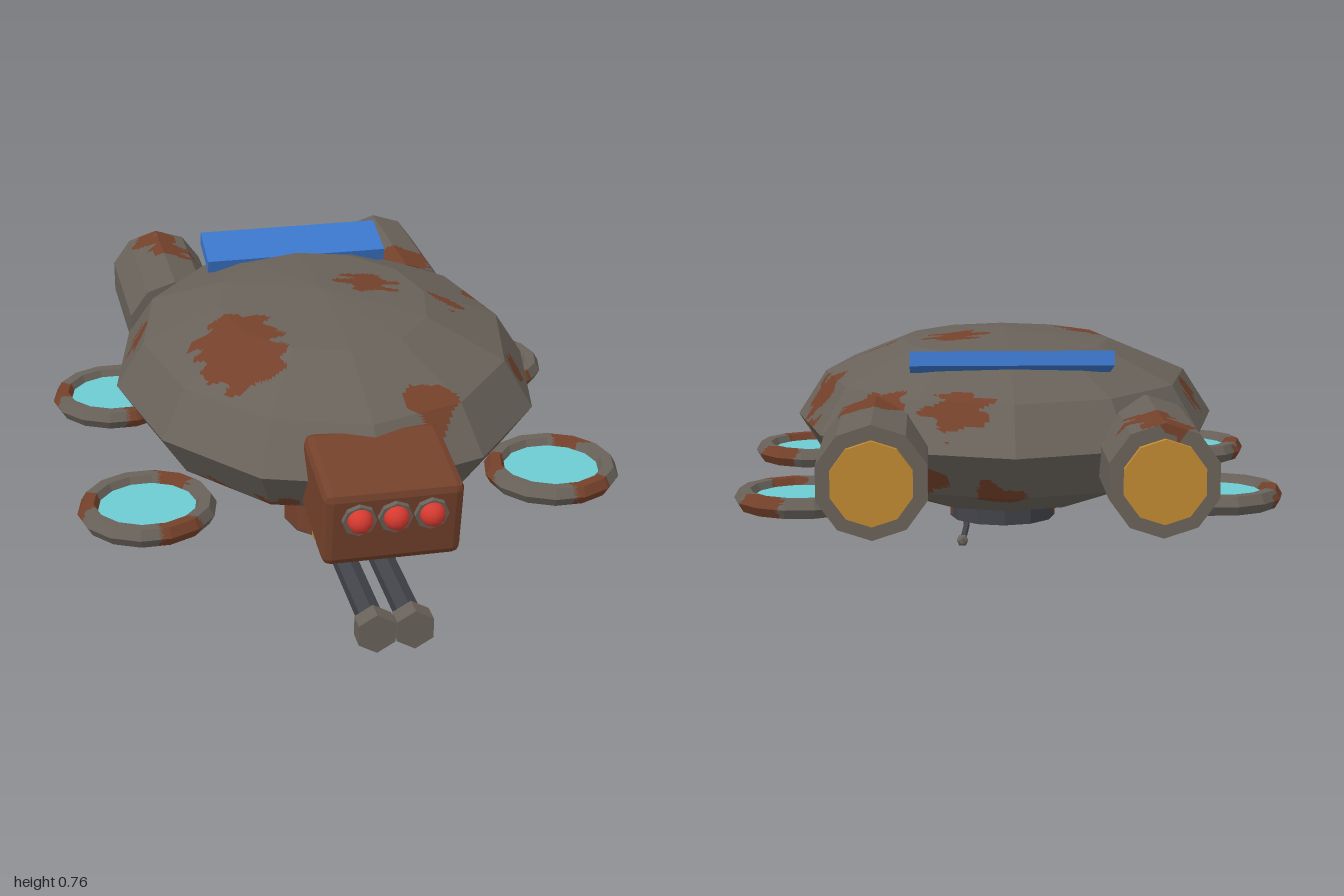
import * as THREE from 'three';
import { RoundedBoxGeometry } from 'three/addons/geometries/RoundedBoxGeometry.js';

const mat = (name, color) => Object.assign(new THREE.MeshStandardMaterial({ color }), { name });

// Rust blotches on hull and engines: x, y, z, radius
const BLOTCHES = [
  [-0.31, 0.71, 0.2, 0.13], [-0.3, 0.7, 0.34, 0.12], [0.15, 0.75, -0.07, 0.08], [0.38, 0.7, 0.03, 0.04],
  [0.2, 0.63, 0.6, 0.08], [-0.57, 0.58, -0.17, 0.06], [0.16, 0.63, -0.67, 0.085], [0.57, 0.6, -0.15, 0.085],
  [0.58, 0.48, -0.23, 0.05], [0.52, 0.56, 0.27, 0.05], [-0.25, 0.4, 0.6, 0.045], [-0.3, 0.3, 0.38, 0.15],
  [0.32, 0.36, 0.5, 0.06], [0.2, 0.29, -0.3, 0.05], [0.05, 0.38, -0.66, 0.07], [-0.4, 0.35, -0.25, 0.06],
  [0.4, 0.61, -0.57, 0.1], [-0.36, 0.62, -0.82, 0.07], [-0.4, 0.61, -0.91, 0.07], [0.28, 0.4, -0.68, 0.07],
];
const wobble = (p) => 0.012 * (Math.sin(p.x * 61 + p.z * 23) + Math.sin(p.z * 71 - p.x * 37 + p.y * 30) + Math.sin(p.y * 53 + p.z * 97));
const isRusty = (p) => BLOTCHES.some(([x, y, z, r]) => Math.hypot(p.x - x, p.y - y, p.z - z) < r + wobble(p));

// Faceted normals
function flat(geo) {
  const g = geo.index ? geo.toNonIndexed() : geo;
  g.computeVertexNormals();
  return g;
}

// Divide every triangle n times and sort the pieces into clean (group 0) and rusty (group 1)
function weather(geo, n, test) {
  const src = geo.toNonIndexed().attributes.position;
  const lists = [[], []];
  const [a, b, c, m] = [0, 1, 2, 3].map(() => new THREE.Vector3());
  const put = (p, q, r) => {
    m.copy(p).add(q).add(r).divideScalar(3);
    const list = lists[test(m) ? 1 : 0];
    for (const v of [p, q, r]) list.push(v.x, v.y, v.z);
  };
  for (let i = 0; i < src.count; i += 3) {
    a.fromBufferAttribute(src, i);
    b.fromBufferAttribute(src, i + 1);
    c.fromBufferAttribute(src, i + 2);
    const at = (u, v) => a.clone().multiplyScalar(1 - (u + v) / n).addScaledVector(b, u / n).addScaledVector(c, v / n);
    for (let u = 0; u < n; u++) for (let v = 0; v < n - u; v++) {
      put(at(u, v), at(u + 1, v), at(u, v + 1));
      if (u + v < n - 1) put(at(u + 1, v), at(u + 1, v + 1), at(u, v + 1));
    }
  }
  const out = new THREE.BufferGeometry();
  out.setAttribute('position', new THREE.Float32BufferAttribute(lists[0].concat(lists[1]), 3));
  out.addGroup(0, lists[0].length / 3, 0);
  out.addGroup(lists[0].length / 3, lists[1].length / 3, 1);
  out.computeVertexNormals();
  return out;
}

export function createModel() {
  const model = new THREE.Group();
  model.name = 'hoverDrone';
  const gray = mat('hull gray', 0x69625a), rust = mat('rust brown', 0x74412b), dark = mat('gunmetal', 0x42434a);
  const blue = mat('blue', 0x3b76ca), cyan = mat('cyan', 0x6ccbd2), amber = mat('amber', 0xc08a32), red = mat('red', 0xd63a30);

  const add = (name, geo, material, x = 0, y = 0, z = 0, rx = 0, parent = model) => {
    const mesh = new THREE.Mesh(geo, material);
    mesh.name = name;
    mesh.position.set(x, y, z);
    mesh.rotation.x = rx;
    parent.add(mesh);
  };
  const rodZ = (r, len, sides) => flat(new THREE.CylinderGeometry(r, r, len, sides).rotateX(Math.PI / 2));

  // Hull
  const hull = new THREE.SphereGeometry(1, 12, 6).scale(0.64, 0.267, 0.805).translate(0, 0.5, 0);
  add('hull', weather(hull, 20, isRusty), [gray, rust]);

  // Head with three eyes
  const head = new THREE.Group();
  head.name = 'head';
  head.position.set(0, 0.472, 0.795);
  head.rotation.x = 0.16;
  model.add(head);
  add('headBox', flat(new RoundedBoxGeometry(0.39, 0.24, 0.31, 1, 0.025)), rust, 0, 0, 0, 0, head);
  for (const x of [-0.1, 0, 0.1]) {
    add('eyeSocket', rodZ(0.048, 0.03, 8), gray, x, 0.04, 0.155, 0, head);
    add('eye', new THREE.SphereGeometry(0.036, 12, 8), red, x, 0.045, 0.172, 0, head);
  }

  // Rear fin
  add('fin', new THREE.BoxGeometry(0.58, 0.042, 0.165), blue, 0, 0.724, -0.487, 0.26);

  for (const s of [-1, 1]) {
    // Engines
    const pipe = new THREE.CylinderGeometry(0.156, 0.156, 0.49, 10, 6).rotateX(-Math.PI / 2).translate(s * 0.388, 0.472, -0.735);
    add('engine', weather(pipe, 6, isRusty), [gray, rust]);
    add('engineGlow', rodZ(0.115, 0.04, 10), amber, s * 0.388, 0.472, -0.98);

    // Hover rings, rusted in three arcs
    for (const z of [0.44, -0.345]) {
      const ring = new THREE.TorusGeometry(0.171, 0.032, 6, 14).rotateX(Math.PI / 2).translate(s * 0.61, 0.306, z);
      const arcs = (p) => Math.cos(3 * (Math.atan2(p.z - z, p.x - s * 0.61) + 0.9)) > 0.5 + 12 * wobble(p);
      add('hoverRing', weather(ring, 5, arcs), [gray, rust]);
      add('hoverDisc', flat(new THREE.CylinderGeometry(0.148, 0.148, 0.01, 24)), cyan, s * 0.61, 0.308, z);
    }

    // Gun barrels and muzzles
    add('barrel', rodZ(0.037, 0.46, 6), dark, s * 0.054, 0.143, 0.73);
    add('muzzle', rodZ(0.06, 0.057, 6), gray, s * 0.054, 0.142, 0.964);
    add('breechStripe', new THREE.BoxGeometry(0.008, 0.055, 0.03), amber, s * 0.108, 0.157, 0.4);
  }

  // Turret, rusted along its front flanks
  const turret = new THREE.CylinderGeometry(0.17, 0.17, 0.13, 12, 2).translate(0, 0.185, 0.245);
  const flank = (p) => p.y > 0.123 && Math.abs(p.x) > 0.09 && p.z > 0.2 + wobble(p);
  add('turret', weather(turret, 8, flank), [dark, rust]);

  // Breech
  add('breech', flat(new RoundedBoxGeometry(0.21, 0.09, 0.12, 1, 0.015)), gray, 0, 0.142, 0.455);
  add('breechBack', new THREE.BoxGeometry(0.2, 0.07, 0.06), gray, 0, 0.145, 0.385);
  add('breechLight', new THREE.BoxGeometry(0.06, 0.008, 0.08), cyan, 0, 0.189, 0.46);

  // Crank on the left side
  const bend = new THREE.CatmullRomCurve3([[0.1, 0.12, 0.41], [0.112, 0.09, 0.38], [0.117, 0.055, 0.35], [0.128, 0.025, 0.31]]
    .map((p) => new THREE.Vector3(...p)));
  add('crankArm', flat(new THREE.TubeGeometry(bend, 8, 0.01, 6)), dark);
  add('crankKnob', flat(new THREE.IcosahedronGeometry(0.021, 0)), gray, 0.13, 0.021, 0.303);
  return model;
}
